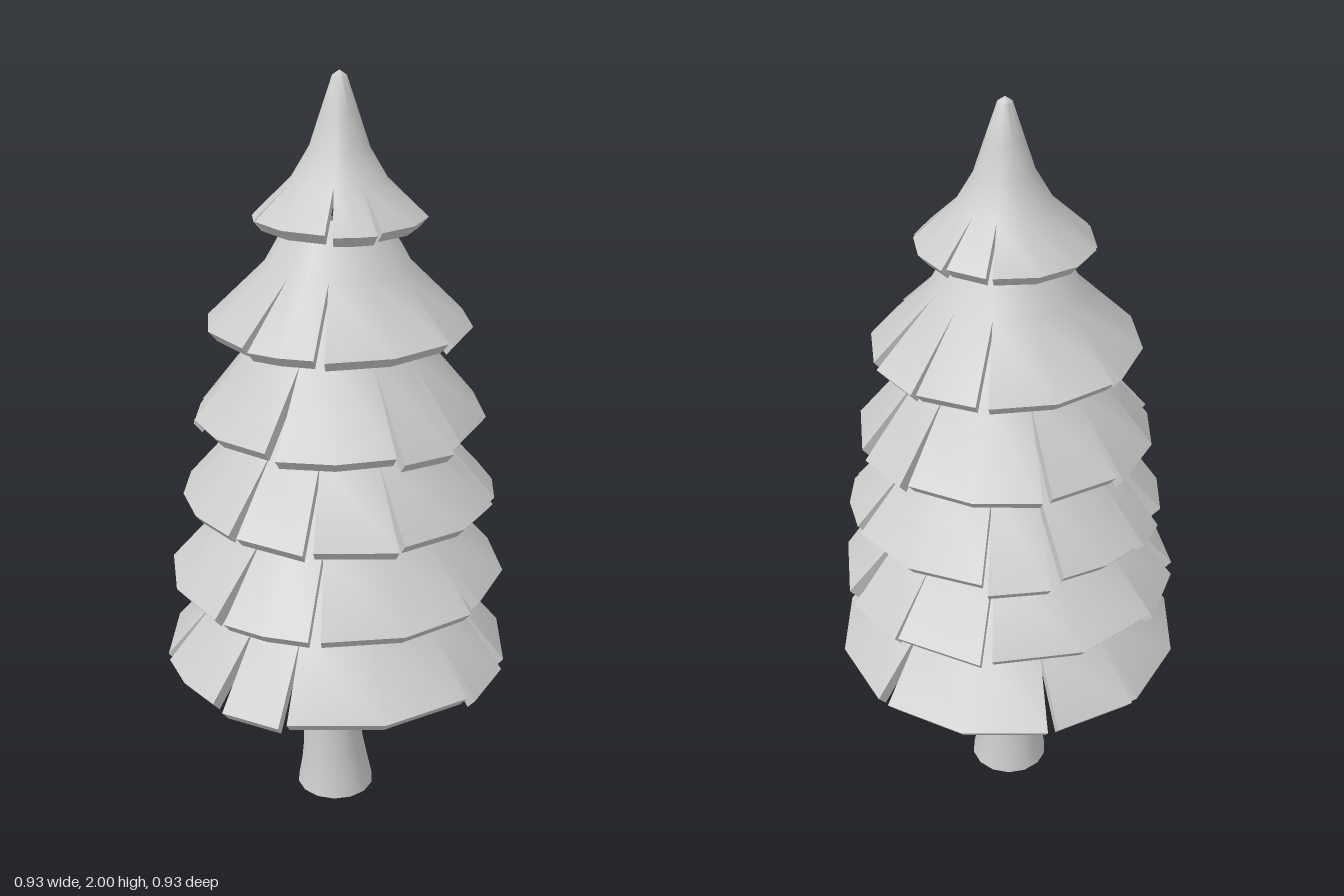
import * as THREE from 'three';
import { toCreasedNormals } from 'three/addons/utils/BufferGeometryUtils.js';

const material = new THREE.MeshStandardMaterial({ color: 0xcccccc });
const openMaterial = new THREE.MeshStandardMaterial({ color: 0xcccccc, side: THREE.DoubleSide });

// Small seeded generator, returns 0..1
let seed;
function rand() {
  seed = (seed * 16807) % 2147483647;
  return seed / 2147483647;
}

// Outer profile [radius, y] of a skirt tier: hidden top, shoulder, slit start, rim
const skirt = (slitR, slitY, rimR, rimY) => [
  [slitR * 0.5, slitY + 0.13], [slitR * 0.82, slitY + 0.06], [slitR, slitY], [rimR, rimY],
];

// Tiers from top to bottom; slits are the angles (degrees, +x towards +z)
// that divide the rim into overhanging panels
const TIERS = [
  { x: 0.01, slits: [-150, -119, -30, 0, 55, 113, 146],
    profile: [[0, 2], [0.018, 1.988], [0.048, 1.9], [0.075, 1.82], [0.12, 1.745], [0.22, 1.648]] },
  { x: 0.008, slits: [-90, -30, 0, 28, 87, 147, 180], profile: skirt(0.19, 1.53, 0.34, 1.382) },
  { x: 0.012, slits: [-142, -116, -87, -55, 0, 28, 90, 118, 165], profile: skirt(0.225, 1.33, 0.38, 1.143) },
  { x: 0.01, slits: [-115, -96, -57, -32, 25, 62, 118, 150, 180], profile: skirt(0.26, 1.1, 0.412, 0.922) },
  { x: 0, slits: [-124, -96, -32, 0, 28, 88, 146, 180], profile: skirt(0.29, 0.88, 0.447, 0.703) },
  { x: 0, slits: [-145, -85, -54, 6, 66, 92, 156, 180], profile: [[0.06, 0.86], [0.23, 0.75], [0.325, 0.64], [0.466, 0.468]] },
];

function tierGeometry({ profile, slits }) {
  const pos = [];
  const tri = (a, b, c) => {
    if (a.distanceTo(b) < 1e-6 || b.distanceTo(c) < 1e-6 || a.distanceTo(c) < 1e-6) return;
    for (const p of [a, b, c]) pos.push(p.x, p.y, p.z);
  };
  const quad = (a, b, c, d) => { tri(a, b, c); tri(a, c, d); };
  const n = profile.length;

  slits.forEach((start, s) => {
    const end = s + 1 < slits.length ? slits[s + 1] : slits[0] + 360;
    const steps = Math.ceil((end - start) / 32);
    const insetA = 0.6 + rand() * 2.2, insetB = 0.6 + rand() * 2.2;
    // Narrow panels hang a little lower than wide ones
    const lift = (end - start < 30 ? -0.015 : 0.003) + (rand() - 0.5) * 0.012;
    const tilt = (rand() - 0.5) * 0.025;

    // One column per angle: outer profile downwards, then inner profile upwards
    const columns = [];
    for (let j = 0; j <= steps; j++) {
      const t = j / steps;
      const at = (r, y, rim) => {
        const from = start + (rim ? insetA : 0), to = end - (rim ? insetB : 0);
        const a = THREE.MathUtils.degToRad(from + (to - from) * t);
        const dy = rim ? lift + tilt * (t - 0.5) : 0;
        return new THREE.Vector3(r * Math.cos(a), y + dy, r * Math.sin(a));
      };
      const outer = profile.map(([r, y], i) => at(r, y, i === n - 1));
      const inner = profile.map(([r, y], i) => at(Math.max(r - 0.022, 0), y - 0.026, i === n - 1));
      columns.push([...outer, ...inner.reverse()]);
    }

    for (let j = 0; j < steps; j++) {
      const a = columns[j], b = columns[j + 1];
      for (let i = 0; i < 2 * n - 1; i++) quad(b[i], b[i + 1], a[i + 1], a[i]);
    }

    // Side walls of the slits
    const o = n - 2, first = columns[0], last = columns[steps];
    quad(first[o], first[o + 1], first[o + 2], first[o + 3]);
    quad(last[o + 3], last[o + 2], last[o + 1], last[o]);
  });

  const geometry = new THREE.BufferGeometry();
  geometry.setAttribute('position', new THREE.Float32BufferAttribute(pos, 3));
  return toCreasedNormals(geometry, 0.7);
}

// Flared trunk, open at the foot, leaning slightly back above the flare
function trunkGeometry() {
  const profile = [[0.108, 0], [0.098, 0.05], [0.087, 0.12], [0.077, 0.22], [0.073, 0.3], [0.071, 0.86]]
    .map(([r, y]) => new THREE.Vector2(r, y));
  const geometry = new THREE.LatheGeometry(profile, 14);
  const p = geometry.attributes.position;
  for (let i = 0; i < p.count; i++) {
    p.setZ(i, p.getZ(i) - 0.01 - 0.02 * THREE.MathUtils.smoothstep(p.getY(i), 0, 0.3));
  }
  return geometry;
}

export function createModel() {
  const group = new THREE.Group();
  group.name = 'tree';
  seed = 7;

  const add = (name, geometry, mat = material) => {
    const mesh = new THREE.Mesh(geometry, mat);
    mesh.name = name;
    group.add(mesh);
    return mesh;
  };

  // Foliage tiers
  TIERS.forEach((tier, i) => {
    add(`foliageTier${i + 1}`, tierGeometry(tier)).position.x = tier.x;
  });

  add('trunk', trunkGeometry(), openMaterial).position.x = 0.006;

  // Cut-off branch stub on the front of the trunk
  const base = new THREE.Vector3(0.004, 0.29, 0.01), tip = new THREE.Vector3(0.004, 0.316, 0.134);
  const dir = tip.clone().sub(base);
  const stub = add('branchStub', new THREE.CylinderGeometry(0.024, 0.036, dir.length(), 8));
  stub.position.copy(base).add(tip).multiplyScalar(0.5);
  stub.quaternion.setFromUnitVectors(new THREE.Vector3(0, 1, 0), dir.normalize());

  return group;
}
